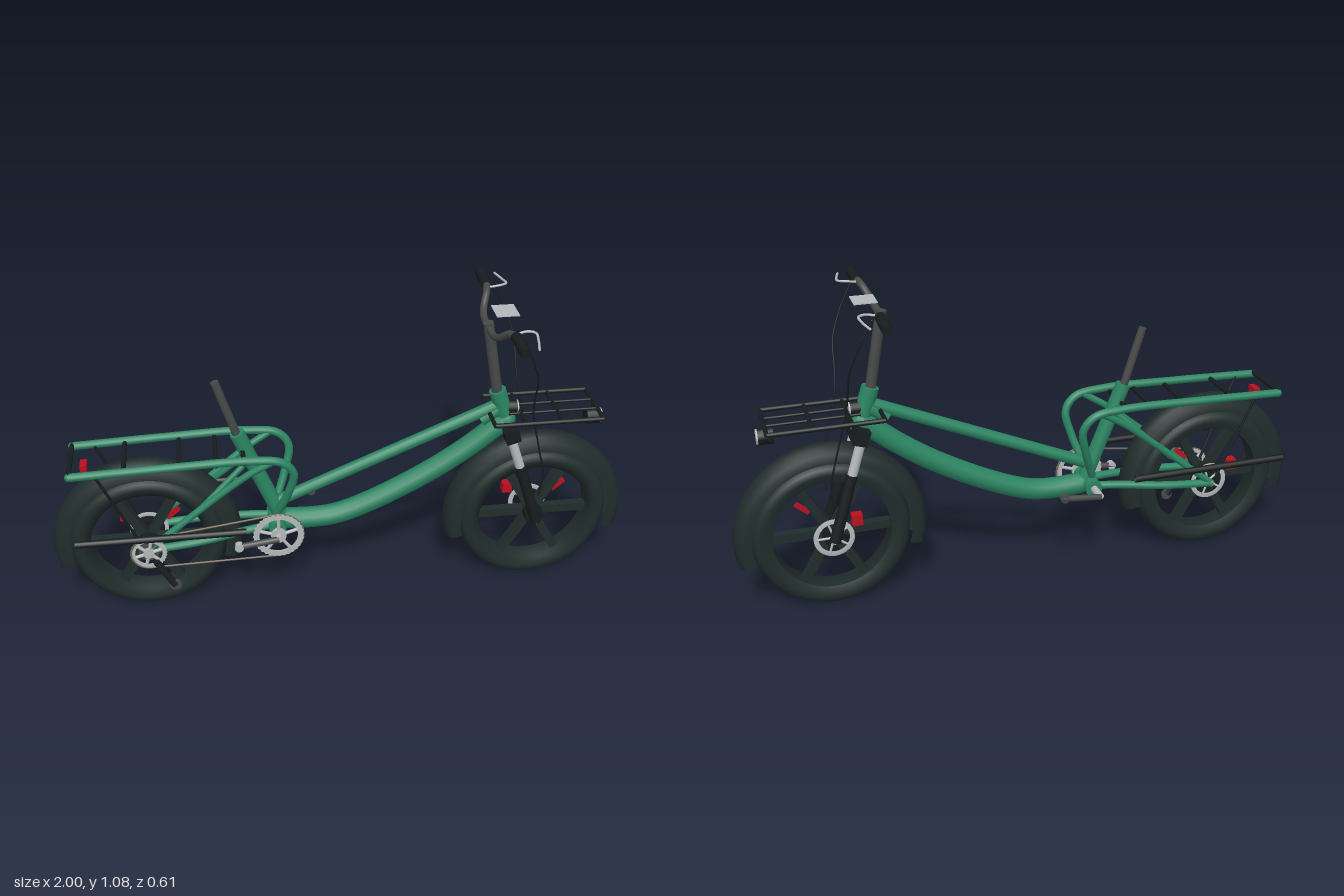
import * as THREE from 'three';

const mat = (name, color, side = THREE.FrontSide) => {
  const m = new THREE.MeshStandardMaterial({ color, side });
  m.name = name;
  return m;
};

export function createModel() {
  const green = mat('frame green', 0x2a8462);
  const rubber = mat('tyre black', 0x1f2c2b, THREE.DoubleSide);
  const black = mat('part black', 0x171c1c, THREE.DoubleSide);
  const grey = mat('dark grey metal', 0x474949);
  const silver = mat('silver metal', 0xb4b8ba, THREE.DoubleSide);
  const red = mat('red', 0xb8101f);
  const brown = mat('chain brown', 0x6e6352);

  const bike = new THREE.Group();
  bike.name = 'cargoBike';
  const V = (p) => new THREE.Vector3(...p);
  const add = (name, geo, material, pos = [0, 0, 0], parent = bike) => {
    const m = new THREE.Mesh(geo, material);
    m.name = name;
    m.position.set(...pos);
    parent.add(m);
    return m;
  };
  // straight round bar between two points
  const rod = (name, a, b, r, material, parent = bike, open = false) => {
    const d = V(b).sub(V(a));
    const m = add(name, new THREE.CylinderGeometry(r, r, d.length(), 14, 1, open), material, [0, 0, 0], parent);
    m.position.copy(V(a)).addScaledVector(d, 0.5);
    m.quaternion.setFromUnitVectors(new THREE.Vector3(0, 1, 0), d.normalize());
    return m;
  };
  // bent tube through points, with rounded ends
  const bend = (name, pts, r, material, seg = 40, ends = true) => {
    const curve = new THREE.CatmullRomCurve3(pts.map(V), false, 'centripetal');
    add(name, new THREE.TubeGeometry(curve, seg, r, 12), material);
    if (ends) for (const p of [pts[0], pts[pts.length - 1]]) add(name + 'End', new THREE.SphereGeometry(r, 12, 8), material, p);
  };
  const flip = (pts, s) => pts.map(([x, y, z]) => [x, y, z * s]);
  const lathe = (pts, seg, start = 0, len = Math.PI * 2) =>
    new THREE.LatheGeometry(pts.map((p) => new THREE.Vector2(...p)), seg, start, len).rotateX(Math.PI / 2);
  const disc = (r, h) => new THREE.CylinderGeometry(r, r, h, 28).rotateX(Math.PI / 2);
  // open toothed ring with arms
  const gear = (name, R, inner, arms, pos) => {
    const g = new THREE.Group();
    g.name = name;
    g.position.set(...pos);
    const s = new THREE.Shape();
    for (let i = 0; i < 64; i++) {
      const a = (i / 64) * Math.PI * 2, r = R - (i % 2) * 0.004;
      s[i ? 'lineTo' : 'moveTo'](r * Math.cos(a), r * Math.sin(a));
    }
    s.holes.push(new THREE.Path().absarc(0, 0, inner, 0, Math.PI * 2, true));
    add('ring', new THREE.ExtrudeGeometry(s, { depth: 0.006, bevelEnabled: false, curveSegments: 24 }), silver, [0, 0, -0.003], g);
    for (let i = 0; i < arms; i++) {
      const a = (i / arms) * Math.PI * 2 + 0.3;
      rod('arm', [0, 0, 0], [inner * 1.02 * Math.cos(a), inner * 1.02 * Math.sin(a), 0], 0.006, silver, g);
    }
    add('centre', disc(R * 0.3, 0.012), silver, [0, 0, 0], g);
    bike.add(g);
  };

  // wheels with fender, spokes, hub, brake and reflector
  const wheel = (name, x) => {
    const g = new THREE.Group();
    g.name = name;
    g.position.set(x, 0.267, 0);
    bike.add(g);
    add('tyre', lathe([[0.197, -0.034], [0.225, -0.045], [0.247, -0.042], [0.261, -0.027], [0.267, 0],
      [0.261, 0.027], [0.247, 0.042], [0.225, 0.045], [0.197, 0.034], [0.197, -0.034]], 56), rubber, [0, 0, 0], g);
    add('fender', lathe([[0.265, -0.047], [0.298, -0.044], [0.315, -0.028], [0.322, 0],
      [0.315, 0.028], [0.298, 0.044], [0.265, 0.047]], 44, 1.31, 3.66), rubber, [0, 0, 0], g);
    for (let i = 0; i < 6; i++) {
      const spoke = add('spoke', new THREE.BoxGeometry(0.19, 0.03, 0.03), rubber, [0, 0, 0], g);
      const a = (i * Math.PI) / 3;
      spoke.position.set(0.11 * Math.cos(a), 0.11 * Math.sin(a), 0);
      spoke.rotation.z = a;
    }
    add('hub', disc(0.034, 0.1), black, [0, 0, 0], g);
    rod('axle', [0, 0, -0.085], [0, 0, 0.085], 0.01, silver, g);
    add('brakeDisc', lathe([[0.052, -0.002], [0.068, -0.002], [0.068, 0.002], [0.052, 0.002], [0.052, -0.002]], 32), silver, [0, 0, -0.054], g);
    for (let i = 0; i < 5; i++) {
      const a = i * 1.2566;
      rod('discArm', [0, 0, -0.054], [0.055 * Math.cos(a), 0.055 * Math.sin(a), -0.054], 0.004, silver, g);
    }
    add('brakeCaliper', new THREE.BoxGeometry(0.035, 0.038, 0.032), red, [-0.078, 0.062, -0.06], g);
    add('reflector', new THREE.BoxGeometry(0.055, 0.016, 0.012), red, [0.09, 0.097, 0], g).rotation.z = 0.72;
  };
  wheel('rearWheel', -0.678);
  wheel('frontWheel', 0.678);
  add('rearHubMotor', disc(0.055, 0.03), black, [-0.678, 0.267, -0.035]);

  // main frame
  bend('downTube', [[0.555, 0.65, 0], [0.44, 0.555, 0], [0.3, 0.46, 0], [0.1, 0.355, 0], [-0.02, 0.311, 0], [-0.1, 0.302, 0], [-0.2, 0.305, 0]], 0.037, green, 56);
  rod('topTube', [0.53, 0.71, 0], [-0.22, 0.385, 0], 0.021, green);
  rod('seatTube', [-0.355, 0.665, 0], [-0.215, 0.31, 0], 0.026, green);
  rod('seatPost', [-0.418, 0.862, 0], [-0.35, 0.64, 0], 0.014, grey);
  rod('headTube', [0.52, 0.765, 0], [0.566, 0.62, 0], 0.029, green);
  rod('headGusset', [0.47, 0.655, 0], [0.55, 0.71, 0], 0.024, green);
  rod('bottomBracket', [-0.235, 0.305, -0.06], [-0.235, 0.305, 0.07], 0.03, green);

  for (const s of [1, -1]) {
    // rack rails sweeping down to the bottom bracket, stays
    bend('rackRail', flip([[-0.905, 0.598, 0.096], [-0.6, 0.609, 0.098], [-0.32, 0.614, 0.098], [-0.215, 0.598, 0.096],
      [-0.178, 0.55, 0.09], [-0.195, 0.46, 0.07], [-0.235, 0.35, 0.032]], s), 0.014, green, 60);
    bend('chainStay', flip([[-0.678, 0.267, 0.074], [-0.5, 0.283, 0.07], [-0.33, 0.3, 0.045], [-0.235, 0.305, 0.03]], s), 0.014, green);
    bend('seatStay', flip([[-0.67, 0.275, 0.074], [-0.45, 0.455, 0.076], [-0.33, 0.55, 0.085], [-0.25, 0.6, 0.094]], s), 0.012, green);
    rod('innerStay', [-0.52, 0.39, 0.07 * s], [-0.32, 0.57, 0.02 * s], 0.01, green);
    rod('fenderStay', [-0.83, 0.6, 0.085 * s], [-0.7, 0.29, 0.07 * s], 0.005, black);
    rod('footBar', [-0.908, 0.375, 0.16 * s], [-0.345, 0.375, 0.16 * s], 0.012, black, bike, true);

    // fork
    rod('forkStanchion', [0.565, 0.61, 0.051 * s], [0.615, 0.46, 0.061 * s], 0.016, silver);
    rod('forkLeg', [0.607, 0.49, 0.062 * s], [0.678, 0.262, 0.073 * s], 0.019, black);

    // handlebar side, grip, lever and cable
    bend('handlebar', flip([[0.475, 1.0, 0], [0.475, 1.002, 0.07], [0.482, 1.018, 0.11], [0.5, 1.052, 0.155], [0.508, 1.06, 0.19], [0.51, 1.06, 0.24]], s), 0.012, grey);
    rod('grip', [0.51, 1.06, 0.19 * s], [0.512, 1.057, 0.305 * s], 0.017, black);
    bend('brakeLever', flip([[0.515, 1.06, 0.175], [0.55, 1.066, 0.172], [0.573, 1.066, 0.185], [0.57, 1.062, 0.23], [0.558, 1.06, 0.285]], s), 0.004, silver, 24);
    bend('brakeCable', flip([[0.535, 1.05, 0.185], [0.575, 0.97, 0.18], [0.607, 0.88, 0.158], [0.612, 0.8, 0.128],
      [0.62, 0.72, 0.105], [0.655, 0.58, 0.092], [0.68, 0.47, 0.09], [0.675, 0.38, 0.08]], s), 0.003, black);

    // front rack side rail
    rod('frontRackRail', [0.495, 0.686, 0.102 * s], [0.865, 0.686, 0.102 * s], 0.008, black);
    rod('frontRackBrace', [0.56, 0.686, 0.03 * s], [0.865, 0.686, 0.03 * s], 0.005, black);
  }

  // rack cross bars
  for (const x of [-0.905, -0.73, -0.55, -0.43, -0.34]) rod('rackRung', [x, 0.604, -0.1], [x, 0.604, 0.1], 0.008, black);
  for (const x of [0.495, 0.6, 0.725, 0.865]) rod('frontRackRung', [x, 0.686, -0.105], [x, 0.686, 0.105], 0.007, black);
  add('tailLight', new THREE.BoxGeometry(0.022, 0.024, 0.045), red, [-0.865, 0.578, 0]);

  // steering
  rod('stem', [0.472, 1.018, 0], [0.522, 0.745, 0], 0.0175, grey);
  add('forkCrown', new THREE.BoxGeometry(0.05, 0.052, 0.144), black, [0.568, 0.617, 0]).rotation.z = 0.3;
  add('display', new THREE.BoxGeometry(0.075, 0.003, 0.085), silver, [0.525, 1.056, 0]);

  // lamps with pale lenses facing forward
  const lamp = (name, x0, x1, y, r) => {
    rod(name, [x0, y, 0], [x1, y, 0], r, black);
    rod(name + 'Lens', [x1, y, 0], [x1 + 0.005, y, 0], r * 0.92, silver);
  };
  lamp('headlight', 0.838, 0.887, 0.64, 0.028);
  lamp('headTubeLamp', 0.55, 0.59, 0.697, 0.024);
  rod('headlightMount', [0.862, 0.69, 0], [0.862, 0.66, 0], 0.007, black);

  // drivetrain on the left side
  const cx = -0.235, cy = 0.305, rx = -0.678, ry = 0.267;
  gear('chainring', 0.088, 0.066, 5, [cx, cy, 0.098]);
  gear('rearSprocket', 0.062, 0.046, 6, [rx, ry, 0.092]);
  add('smallSprockets', disc(0.036, 0.03), grey, [rx, ry, 0.07]);
  const loop = [];
  for (let i = 0; i <= 12; i++) {
    const a = -Math.PI / 2 + (i / 12) * Math.PI;
    loop.push([cx + 0.086 * Math.cos(a), cy + 0.086 * Math.sin(a), 0.097]);
  }
  for (let i = 0; i <= 12; i++) {
    const a = Math.PI / 2 + (i / 12) * Math.PI;
    loop.push([rx + 0.06 * Math.cos(a), ry + 0.06 * Math.sin(a), 0.094]);
  }
  loop.forEach((p, i) => rod('chain', p, loop[(i + 1) % loop.length], 0.0035, brown));
  rod('derailleurArm', [-0.655, 0.24, 0.108], [-0.598, 0.14, 0.113], 0.012, black);
  add('jockeyWheel', disc(0.02, 0.01), grey, [-0.596, 0.14, 0.113]);
  rod('crankAxle', [cx, cy, -0.12], [cx, cy, 0.125], 0.013, silver);
  rod('leftCrank', [cx, cy, 0.122], [-0.385, 0.288, 0.126], 0.011, grey);
  rod('rightCrank', [cx, cy, -0.122], [-0.09, 0.326, -0.132], 0.011, grey);
  rod('leftPedalStub', [-0.372, 0.29, 0.115], [-0.372, 0.29, 0.138], 0.015, silver);
  rod('rightPedalStub', [-0.1, 0.325, -0.118], [-0.1, 0.325, -0.14], 0.015, grey);

  return bike;
}
